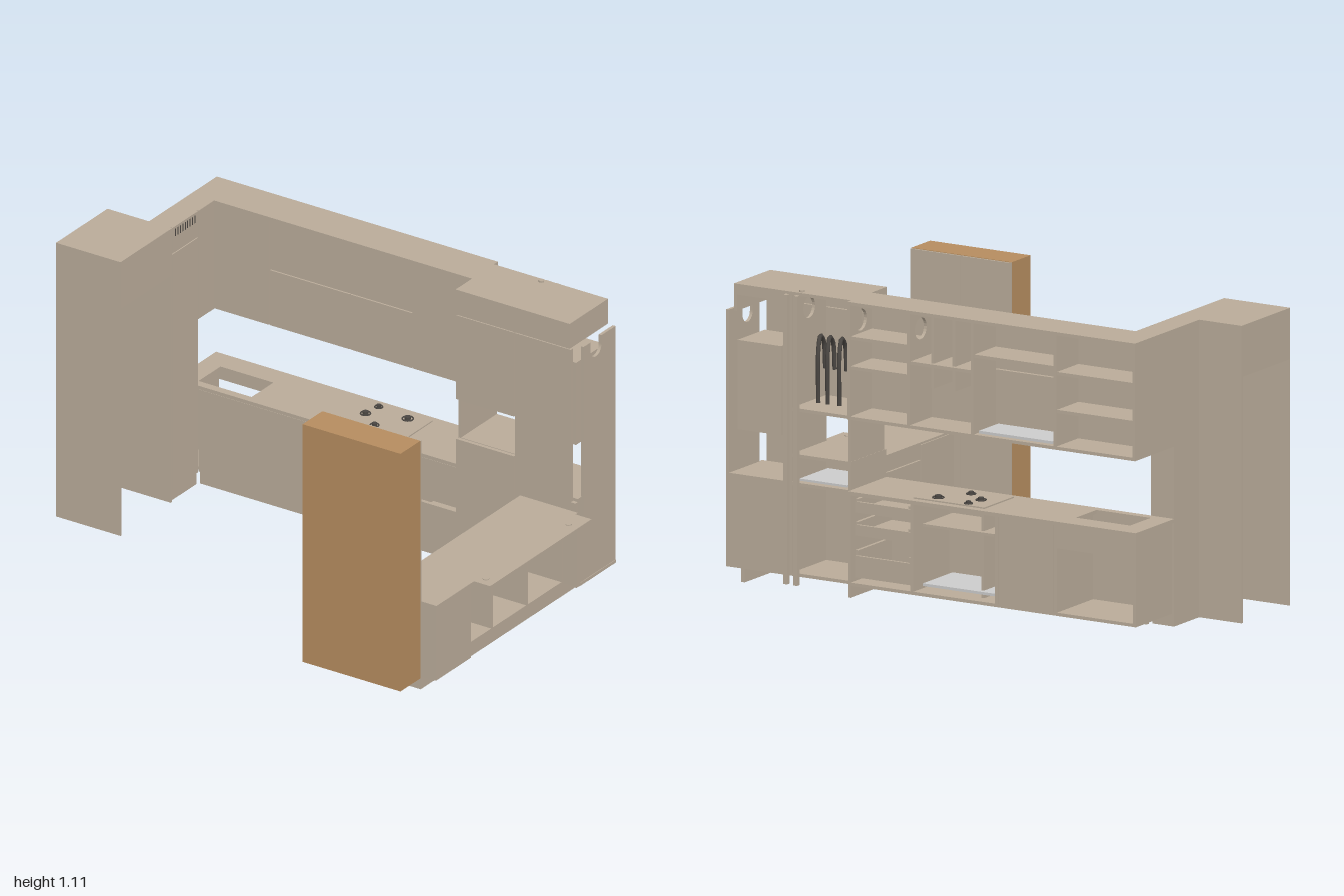
import * as THREE from 'three';

const tan = new THREE.MeshStandardMaterial({ color: 0xb9ab99, side: THREE.DoubleSide });
const wood = new THREE.MeshStandardMaterial({ color: 0xb58c5f });
const grey = new THREE.MeshStandardMaterial({ color: 0xcccccc });
const dark = new THREE.MeshStandardMaterial({ color: 0x4a4642 });

export function createModel() {
  const model = new THREE.Group();
  let group = model;
  const section = (name) => {
    group = new THREE.Group();
    group.name = name;
    model.add(group);
  };
  const add = (name, geo, mat = tan) => {
    const m = new THREE.Mesh(geo, mat);
    m.name = name;
    group.add(m);
    return m;
  };
  // Box given by its extents on each axis
  const box = (name, x0, x1, y0, y1, z0, z1, mat) =>
    add(name, new THREE.BoxGeometry(x1 - x0, y1 - y0, z1 - z0), mat)
      .position.set((x0 + x1) / 2, (y0 + y1) / 2, (z0 + z1) / 2);
  const T = 0.012; // board thickness
  const upright = (name, x, y0, y1, z0, z1) => box(name, x - T / 2, x + T / 2, y0, y1, z0, z1);
  const shelf = (name, x0, x1, y, z0, z1, mat) => box(name, x0, x1, y, y + T, z0, z1, mat);
  // Upright board drawn in (z, y) and placed at x
  const sideBoard = (name, shape, x) => {
    const g = new THREE.ExtrudeGeometry(shape, { depth: T, bevelEnabled: false, curveSegments: 12 });
    g.rotateY(-Math.PI / 2);
    add(name, g).position.x = x + T / 2;
  };
  // Worktop drawn in (x, z) with its upper face at y
  const worktop = (name, shape, y, depth) => {
    const g = new THREE.ExtrudeGeometry(shape, { depth, bevelEnabled: false });
    g.rotateX(Math.PI / 2);
    add(name, g).position.y = y;
  };
  const poly = (pts) => new THREE.Shape(pts.map(([a, b]) => new THREE.Vector2(a, b)));
  const rect = (a0, a1, b0, b1) => poly([[a0, b0], [a1, b0], [a1, b1], [a0, b1]]);
  const disc = (name, r, h, x, y, z, mat) =>
    add(name, new THREE.CylinderGeometry(r, r, h, 20), mat).position.set(x, y, z);
  const ductBoard = (x, y0, y1, z0, z1) => {
    const s = rect(z0, z1, y0, y1);
    s.holes.push(new THREE.Path().absarc((z0 + z1) / 2, 1.02, 0.04, 0, Math.PI * 2));
    sideBoard('ductDivider', s, x);
  };

  // Open-backed wall cabinets
  section('wallCabinets');
  const UB = -0.655, UF = -0.505;
  shelf('top', -0.82, 0.4, 1.088, UB, -0.49);
  shelf('bottom', -0.82, 0.4, 0.665, UB, UF);
  const bays = [-0.814, -0.48, -0.13, 0.14, 0.394];
  bays.forEach((x, i) => (i >= 3 ? ductBoard(x, 0.665, 1.09, UB, UF) : upright('divider', x, 0.665, 1.09, UB, UF)));
  const levels = [[0.8, 0.94], [0.96], [0.9], [0.85, 0.96]];
  for (let i = 0; i < 4; i++) {
    const a = bays[i], b = bays[i + 1];
    levels[i].forEach((y) => shelf('shelf', a, b, y, UB + 0.005, UF));
    const x0 = i === 0 ? -0.72 : a + 0.002, x1 = b - 0.002;
    if (i === 1 || i === 2) {
      box('lowerDoor', x0, x1, 0.667, 0.888, UF, -0.49);
      box('upperDoor', x0, x1, 0.892, 1.088, UF, -0.49);
    } else box('door', x0, x1, 0.667, 1.088, UF, -0.49);
  }
  [-0.04, 0.05].forEach((x) => upright('smallDivider', x, 0.82, 1.09, UB + 0.02, UF));
  box('drainTray', -0.46, -0.15, 0.68, 0.69, -0.64, -0.51, grey);
  box('cornerCabinet', -0.82, -0.72, 0.665, 1.1, -0.505, -0.39);

  // Shallow tall cupboard and the open surround beside it
  section('tallCupboard');
  box('carcass', -0.82, -0.728, 0, 1.1, -0.39, -0.22);
  box('door', -0.728, -0.72, 0.05, 0.993, -0.387, -0.223);
  box('header', -0.728, -0.72, 0.997, 1.1, -0.387, -0.223);
  for (let i = 0; i < 9; i++) {
    const z = -0.24 - i * 0.0155;
    box('ventSlot', -0.721, -0.7185, 1.06, 1.09, z - 0.004, z, dark);
  }
  section('applianceSurround');
  box('overheadCabinet', -1, -0.72, 0.91, 1.1, -0.22, 0.11);
  box('outerPanel', -1, -0.72, 0, 0.91, 0.104, 0.11);
  box('innerPanel', -1, -0.72, 0, 0.91, -0.22, -0.212);

  // Base cabinets along the back, open behind
  section('baseCabinets');
  const BB = -0.65, BF = -0.405;
  const top = rect(-0.82, 0.4, BB, -0.388);
  top.holes.push(rect(-0.74, -0.51, -0.56, -0.42));
  worktop('worktop', top, 0.398, 0.014);
  shelf('floor', -0.82, 0.4, 0.05, BB, BF);
  box('plinth', -0.72, 0.66, 0, 0.05, -0.415, -0.4);
  [-0.814, -0.48, -0.23, 0.128, 0.394].forEach((x) => upright('divider', x, 0.05, 0.384, BB, BF));
  box('sinkRail', -0.82, -0.48, 0.3, 0.384, BB, BB + T);
  box('dishwasherBack', -0.47, -0.24, 0.06, 0.384, BB, BB + T);
  [[-0.72, -0.478], [-0.474, -0.23], [-0.226, -0.137]].forEach(([a, b]) =>
    box('door', a, b, 0.052, 0.382, BF, -0.39));
  // Oven with controls
  box('ovenDoor', -0.134, 0.126, 0.052, 0.325, BF, -0.39);
  box('ovenControlPanel', -0.134, 0.126, 0.33, 0.382, BF, -0.39);
  box('ovenTray', -0.2, 0.1, 0.08, 0.09, -0.62, -0.42, grey);
  box('ovenShelf', -0.2, 0.1, 0.3, 0.31, -0.62, -0.42);
  upright('ovenSide', -0.14, 0.062, 0.38, -0.6, BF);
  for (const [x, y] of [[-0.105, 0.32], [0.04, 0.343], [0.095, 0.32]]) {
    const knob = new THREE.CylinderGeometry(0.007, 0.007, 0.014, 12).rotateX(Math.PI / 2);
    add('knob', knob, dark).position.set(x, y, -0.385);
  }
  // Drawers: fronts with a slit between, and trays behind
  box('lowerDrawerFront', 0.13, 0.4, 0.052, 0.203, BF, -0.39);
  box('upperDrawerFront', 0.13, 0.4, 0.22, 0.382, BF, -0.39);
  for (const y of [0.08, 0.235, 0.32]) {
    shelf('drawerBottom', 0.145, 0.378, y, -0.63, BF);
    const h = y < 0.1 ? 0.1 : 0.05;
    [0.15, 0.373].forEach((x) => upright('drawerSide', x, y, y + h, -0.63, BF));
    box('drawerBack', 0.145, 0.378, y, y + h * 0.8, -0.635, -0.625);
  }
  // Hob
  box('hob', -0.16, 0.14, 0.398, 0.403, -0.62, -0.42);
  for (const [x, z, r] of [[-0.01, -0.47, 0.016], [-0.09, -0.53, 0.018], [0.06, -0.58, 0.02], [-0.08, -0.6, 0.014]]) {
    disc('burner', r * 0.6, 0.012, x, 0.408, z, dark);
    const ring = new THREE.TorusGeometry(r, 0.003, 6, 20).rotateX(Math.PI / 2);
    add('burnerRing', ring, dark).position.set(x, 0.405, z);
  }

  // Tall units at the corner
  section('tallUnits');
  const TB = -0.63, TF = -0.4;
  shelf('top', 0.4, 0.895, 1.088, TB, -0.385);
  box('header', 0.4, 0.895, 1.0, 1.088, -0.4, -0.385);
  box('headerEnd', 0.883, 0.895, 1.0, 1.088, TB, -0.4);
  box('headerBack', 0.66, 0.895, 1.06, 1.088, TB, TB + T);
  ductBoard(0.407, 0, 1.09, TB, TF);
  ductBoard(0.655, 0.05, 1.09, TB, TF);
  shelf('floor', 0.4, 0.93, 0.05, TB, TF);
  shelf('middleShelf', 0.4, 0.92, 0.385, TB, TF);
  shelf('nicheFloor', 0.4, 0.655, 0.49, TB, TF);
  shelf('nicheTop', 0.4, 0.655, 0.66, TB, TF);
  box('applianceTray', 0.43, 0.63, 0.4, 0.408, -0.61, -0.42, grey);
  box('nicheDoor', 0.402, 0.653, 0.66, 0.997, TF, -0.385);
  box('lowerFront', 0.402, 0.653, 0.052, 0.5, TF, -0.385);
  box('tallDoor', 0.657, 0.9, 0.352, 0.997, TF, -0.385);
  box('lowerPanel', 0.657, 0.92, 0.052, 0.385, TF, -0.385);
  box('cornerBack', 0.66, 0.92, 0.06, 0.385, TB, TB + T);
  box('boiler', 0.68, 0.865, 0.57, 0.9, -0.655, -0.47);
  [0.625, 0.668].forEach((x) => box('rearPost', x - 0.008, x + 0.008, 0.02, 1.09, -0.648, -0.63));
  disc('flueCap', 0.01, 0.008, 0.62, 1.103, -0.61);
  // Bent pipes behind the niche door
  for (const x of [0.48, 0.53, 0.57]) {
    const path = new THREE.CatmullRomCurve3([[0, 0.69, -0.58], [0, 0.88, -0.58], [0.01, 0.93, -0.55], [0.02, 0.9, -0.51], [0.02, 0.8, -0.5]]
      .map(([a, y, z]) => new THREE.Vector3(x + a, y, z)));
    add('pipe', new THREE.TubeGeometry(path, 20, 0.008, 8), dark);
  }
  // End panel with a rounded notch for services
  const end = new THREE.Shape();
  end.moveTo(TB, 0.05).lineTo(-0.38, 0.05).lineTo(-0.38, 0.31).lineTo(-0.425, 0.31)
    .lineTo(-0.425, 1).lineTo(-0.47, 1).lineTo(-0.47, 0.965);
  end.absarc(-0.505, 0.965, 0.035, 0, Math.PI, true);
  end.lineTo(-0.54, 1).lineTo(TB, 1);
  sideBoard('endPanel', end, 0.922);

  // Peninsula, open on the outer side under an overhanging top
  section('peninsula');
  worktop('worktop', poly([[0.68, -0.385], [0.93, -0.385], [0.93, -0.37], [1, -0.37], [1, 0.28],
    [0.93, 0.28], [0.93, 0.52], [0.68, 0.52]]), 0.351, 0.008);
  shelf('floor', 0.69, 0.87, 0.05, -0.385, 0.52);
  box('plinth', 0.7, 0.715, 0, 0.05, -0.4, 0.525);
  box('outerPlinth', 0.85, 0.865, 0, 0.05, -0.63, 0.525);
  box('endPlinth', 0.7, 0.865, 0, 0.05, 0.51, 0.525);
  box('endCabinet', 0.69, 0.928, 0.05, 0.343, 0.295, 0.52);
  const cuts = [-0.375, -0.15, 0.075, 0.295];
  cuts.forEach((z) => box('divider', 0.69, 0.87, 0.05, 0.343, z - 0.006, z + 0.006));
  for (let i = 0; i < 3; i++) box('door', 0.68, 0.692, 0.052, 0.285, cuts[i] + 0.002, cuts[i + 1] - 0.002);
  box('endDoor', 0.68, 0.692, 0.052, 0.341, 0.297, 0.52);
  box('rail', 0.68, 0.692, 0.289, 0.343, -0.375, 0.295);
  [-0.29, 0.24].forEach((z) => disc('topCap', 0.012, 0.004, 0.955, 0.352, z));

  // Free-standing timber cupboard with doors on the kitchen side
  section('timberCupboard');
  box('carcass', 0.44, 0.865, 0.045, 1, 0.528, 0.655, wood);
  box('doorLeft', 0.654, 0.865, 0.047, 0.998, 0.52, 0.528);
  box('doorRight', 0.44, 0.651, 0.047, 0.998, 0.52, 0.528);
  return model;
}
